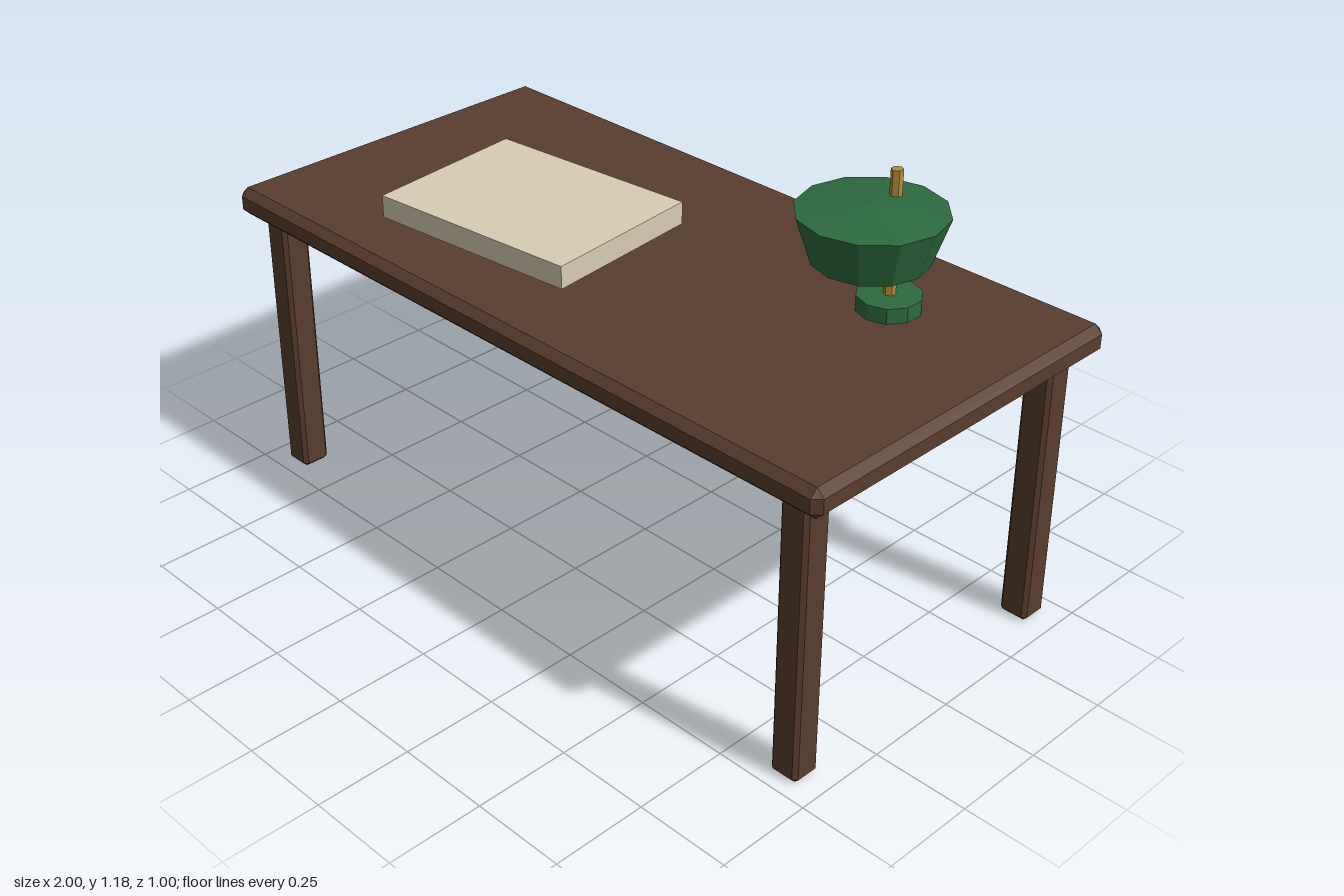
import * as THREE from 'three';
import { ConvexGeometry } from 'three/addons/geometries/ConvexGeometry.js';

const mat = (name, color) => {
  const m = new THREE.MeshStandardMaterial({ color, flatShading: true });
  m.name = name;
  return m;
};

// Box with every edge and corner chamfered by c
function chamferBox(w, h, d, c) {
  const pts = [], x = w / 2, y = h / 2, z = d / 2;
  for (const i of [-1, 1]) for (const j of [-1, 1]) for (const k of [-1, 1]) {
    pts.push(
      new THREE.Vector3(i * x, j * (y - c), k * (z - c)),
      new THREE.Vector3(i * (x - c), j * y, k * (z - c)),
      new THREE.Vector3(i * (x - c), j * (y - c), k * z));
  }
  return new ConvexGeometry(pts);
}

export function createModel() {
  const wood = mat('dark wood', 0x5a3d2e);
  const green = mat('lamp green', 0x2d6a3f);
  const brass = mat('brass', 0xb08d3c);
  const paper = mat('paper', 0xd8cdb2);

  const model = new THREE.Group();
  model.name = 'desk';
  const add = (name, geometry, material, x, y, z, parent = model) => {
    const mesh = new THREE.Mesh(geometry, material);
    mesh.name = name;
    mesh.position.set(x, y, z);
    parent.add(mesh);
    return mesh;
  };

  // Table top and four legs
  add('tableTop', chamferBox(2, 0.077, 1, 0.02), wood, 0, 0.7825, 0);
  const legGeo = chamferBox(0.078, 0.75, 0.078, 0.01);
  for (const sx of [-1, 1]) for (const sz of [-1, 1]) {
    add(`${sz > 0 ? 'front' : 'back'}${sx > 0 ? 'Left' : 'Right'}Leg`, legGeo, wood,
      sx * 0.902, 0.375, sz * 0.421);
  }

  // Paper stack, turned slightly on the desk
  const stack = add('paperStack', new THREE.BoxGeometry(0.597, 0.06, 0.45), paper, -0.302, 0.862, 0.098);
  stack.rotation.y = 0.1;

  // Desk lamp: foot, pole and offset shade with a shallow conical top
  const lamp = new THREE.Group();
  lamp.name = 'lamp';
  lamp.position.set(0.6, 0, -0.2);
  model.add(lamp);
  add('lampFoot', new THREE.CylinderGeometry(0.08, 0.08, 0.04, 10), green, 0, 0.84, 0, lamp);
  add('lampPole', new THREE.CylinderGeometry(0.015, 0.015, 0.32, 6), brass, 0, 1.016, 0, lamp);
  const profile = [[0, 0.98], [0.14, 0.98], [0.18, 1.1], [0, 1.12]].map(p => new THREE.Vector2(...p));
  add('lampShade', new THREE.LatheGeometry(profile, 12), green, 0, 0, 0.08, lamp);

  return model;
}
